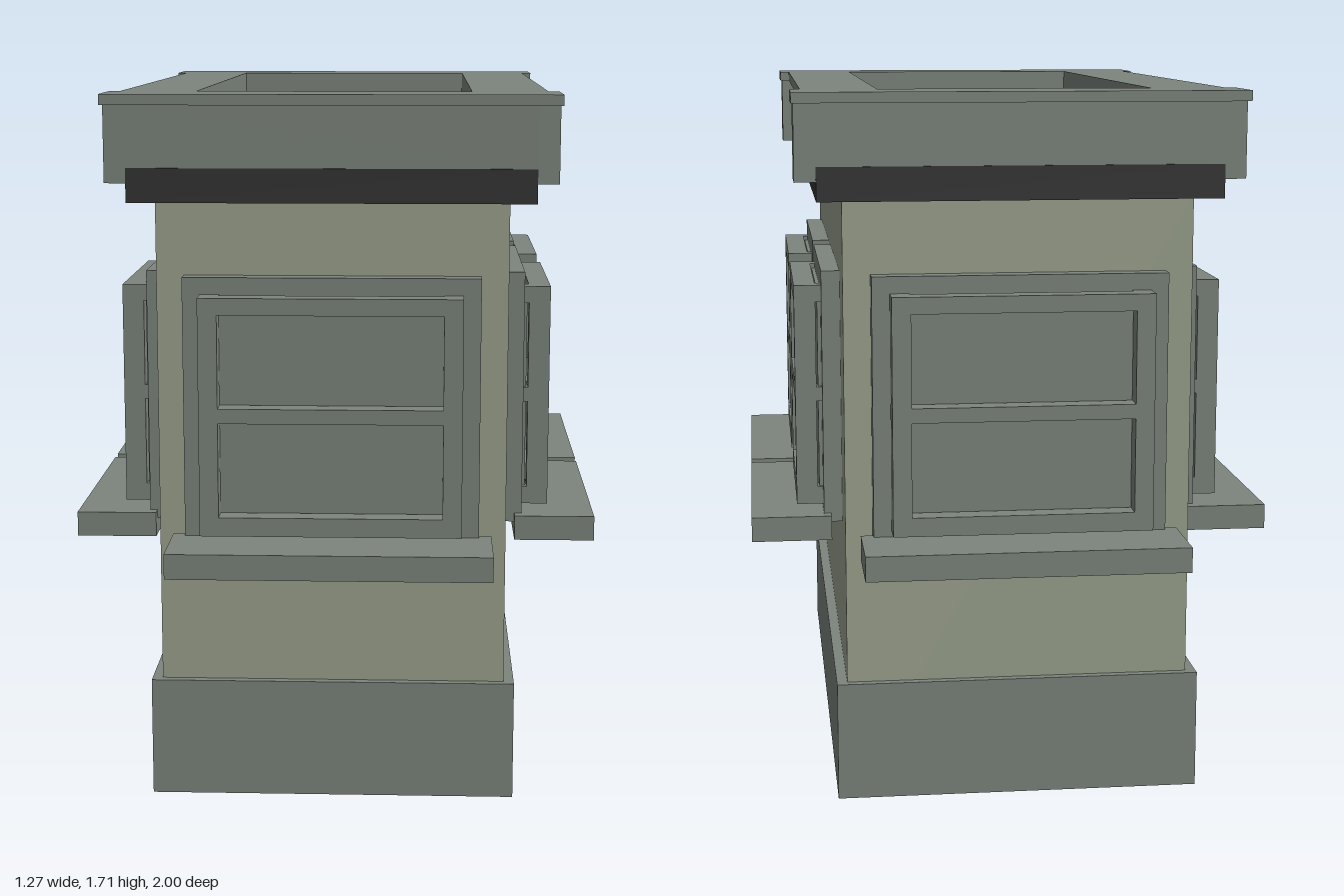
import * as THREE from 'three';

const mat = (name, color) => {
  const m = new THREE.MeshStandardMaterial({ color });
  m.name = name;
  return m;
};

export function createModel() {
  const trim = mat('greyTrim', 0x7d857d);
  const wall = mat('sageWall', 0x9ca38f);
  const dark = mat('darkRoof', 0x333333);
  const model = new THREE.Group();
  model.name = 'building';

  // Box given by its minimum and maximum on each axis
  function box(parent, name, m, x0, x1, y0, y1, z0, z1) {
    const mesh = new THREE.Mesh(new THREE.BoxGeometry(x1 - x0, y1 - y0, z1 - z0), m);
    mesh.position.set((x0 + x1) / 2, (y0 + y1) / 2, (z0 + z1) / 2);
    mesh.name = name;
    parent.add(mesh);
    return mesh;
  }

  const rect = (C, x0, x1, y0, y1) => new C([
    new THREE.Vector2(x0, y0), new THREE.Vector2(x1, y0),
    new THREE.Vector2(x1, y1), new THREE.Vector2(x0, y1)]);

  // Flat plate with holes, extruded along +z
  function plate(parent, name, shape, holes, depth) {
    shape.holes.push(...holes);
    const mesh = new THREE.Mesh(new THREE.ExtrudeGeometry(shape, { depth, bevelEnabled: false }), trim);
    mesh.name = name;
    parent.add(mesh);
    return mesh;
  }

  // Walls and plinth
  box(model, 'walls', wall, -0.415, 0.415, 0, 1.46, -0.78, 0.78);
  box(model, 'plinth', trim, -0.44, 0.44, 0.002, 0.29, -0.8, 0.8);

  // Roof deck, its edge showing as a dark band
  box(model, 'roofDeck', dark, -0.475, 0.475, 1.455, 1.535, -0.842, 0.842);

  // Parapet ring, corner blocks and coping
  const opening = () => rect(THREE.Path, -0.325, 0.325, -0.69, 0.69);
  const parapet = plate(model, 'parapet', rect(THREE.Shape, -0.48, 0.48, -0.84, 0.84), [opening()], 0.145);
  parapet.rotation.x = -Math.PI / 2;
  parapet.position.y = 1.535;
  for (const sx of [-1, 1]) {
    for (const sz of [-1, 1]) {
      const block = box(model, 'cornerBlock', trim, 0.475, 0.525, 1.5, 1.68, 0.717, 0.84);
      block.position.x *= sx;
      block.position.z *= sz;
    }
  }
  const copingShape = new THREE.Shape([
    [-0.53, -0.865], [0.53, -0.865], [0.53, -0.69], [0.505, -0.69],
    [0.505, 0.69], [0.53, 0.69], [0.53, 0.865], [-0.53, 0.865],
    [-0.53, 0.69], [-0.505, 0.69], [-0.505, -0.69], [-0.53, -0.69],
  ].map(([x, y]) => new THREE.Vector2(x, y)));
  const coping = plate(model, 'coping', copingShape, [opening()], 0.025);
  coping.rotation.x = -Math.PI / 2;
  coping.position.y = 1.68;

  // Window facing +z, with z = 0 on the wall face; w is the casing half width
  function windowUnit(w, dy, sill, pane) {
    const g = new THREE.Group();
    g.name = 'window';
    const s = w - 0.042, p = s - 0.045;
    const bottom = 0.675 + dy, top = 1.24 - dy * 0.8;
    const panes = [[pane[0], 0.945], [0.98, pane[1]]];
    box(g, 'casing', trim, -w, w, 0.645 + dy * 0.5, top + 0.04, 0, 0.045);
    // Inset spacer with tabs leaves grooves behind the sash
    box(g, 'glass', trim, -s + 0.012, s - 0.012, bottom + 0.012, top - 0.012, 0.04, 0.054);
    for (const sx of [-1, 1]) {
      for (const [y0, y1] of [[bottom, pane[0]], [0.945, 0.98], [pane[1], top]]) {
        const tab = box(g, 'sashTab', trim, p, s, y0, y1, 0.045, 0.06);
        tab.position.x *= sx;
      }
    }
    const sash = plate(g, 'sash', rect(THREE.Shape, -s, s, bottom, top),
      panes.map(([a, b]) => rect(THREE.Path, -p, p, a, b)), 0.052);
    sash.position.z = 0.058;
    box(g, 'sill', trim, -w - 0.03, w + 0.03, sill, sill + 0.06, 0.027, 0.222);
    model.add(g);
    return g;
  }

  // One window at each end, two on each side
  for (const s of [-1, 1]) {
    const end = windowUnit(0.35, 0, 0.6, [0.72, 1.2]);
    end.position.z = 0.78 * s;
    end.rotation.y = s > 0 ? 0 : Math.PI;
    for (const z of [-0.337, 0.337]) {
      const side = windowUnit(0.286, 0.012, 0.612, [0.73, 1.19]);
      side.position.set(0.415 * s, 0, z);
      side.rotation.y = s * Math.PI / 2;
    }
  }
  return model;
}
